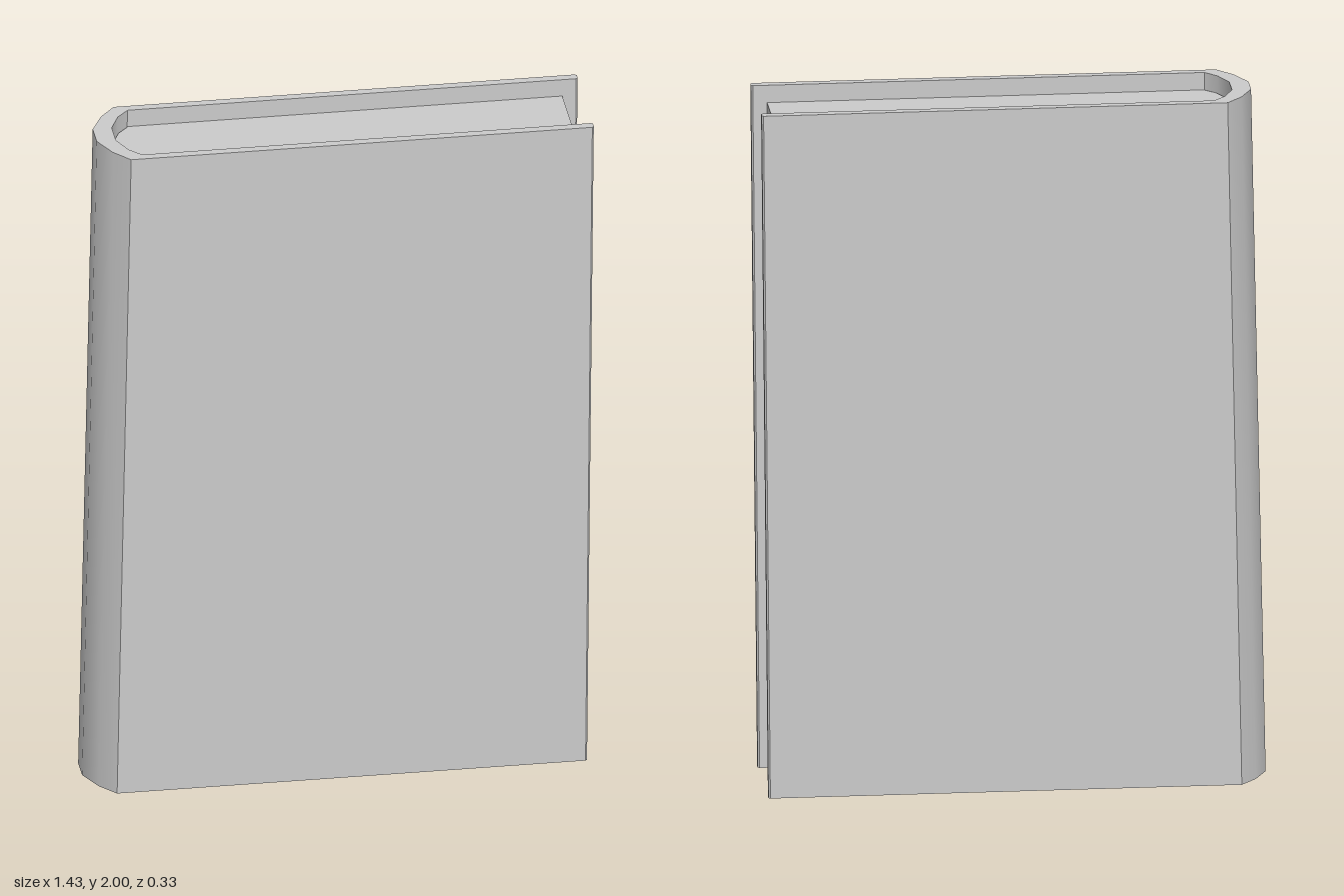
import * as THREE from 'three';
import { toCreasedNormals } from 'three/addons/utils/BufferGeometryUtils.js';

const material = new THREE.MeshStandardMaterial({ color: 0xcccccc });

// Mirrors half a plan outline (x, z) in z
const mirror = (half) => [...half].reverse().map(([x, z]) => [x, -z]);

// Extrudes a plan outline from y0 to y1, then leans it so the spine slants
function leaningPrism(name, outline, y0, y1) {
  const shape = new THREE.Shape(outline.map(([x, z]) => new THREE.Vector2(x, -z)));
  const geometry = new THREE.ExtrudeGeometry(shape, { depth: y1 - y0, bevelEnabled: false });
  geometry.rotateX(-Math.PI / 2).translate(0, y0, 0);
  const p = geometry.attributes.position;
  for (let i = 0; i < p.count; i++) {
    const x = p.getX(i);
    p.setX(i, x + (p.getY(i) / 2) * (0.03 - 0.0155 * x));
  }
  const mesh = new THREE.Mesh(toCreasedNormals(geometry, 0.7), material);
  mesh.name = name;
  return mesh;
}

export function createModel() {
  const book = new THREE.Group();
  book.name = 'book';

  // Boards and rounded spine as one U-shaped shell
  const outer = [[0.69, 0.163], [-0.64, 0.163], [-0.685, 0.11], [-0.72, 0.037]];
  const inner = [[-0.665, 0.038], [-0.638, 0.1], [-0.604, 0.137], [0.69, 0.137], [0.695, 0.142], [0.695, 0.158]];
  const shell = [...outer, ...mirror(outer), ...mirror(inner), ...inner];
  book.add(leaningPrism('cover', shell, 0, 2));

  // Page block, set in from the cover edges
  const pages = [[0.65, 0.134], [-0.602, 0.134], [-0.635, 0.098], [-0.662, 0.037]];
  book.add(leaningPrism('pages', [...pages, ...mirror(pages)], 0.053, 1.95));

  return book;
}
